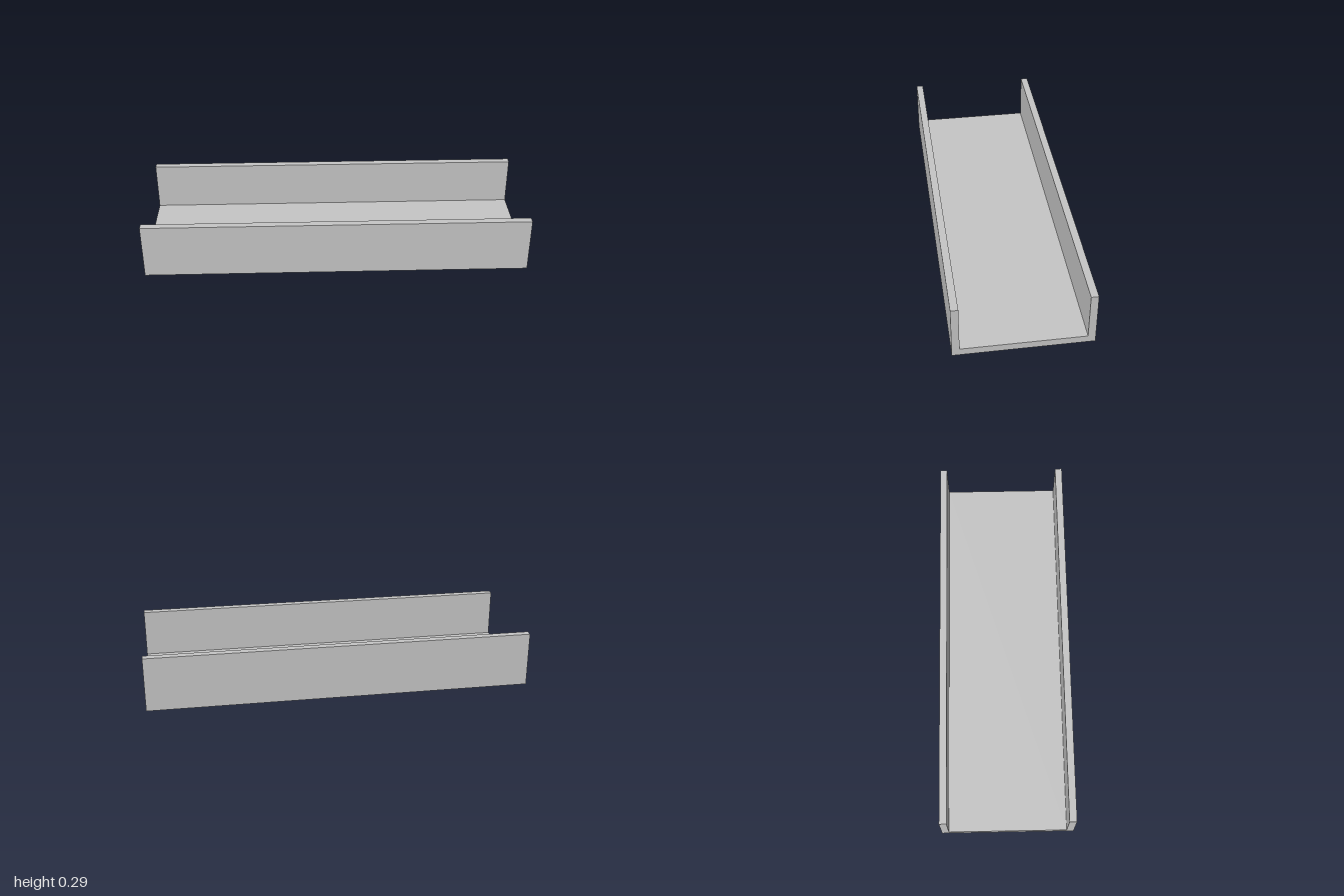
import * as THREE from 'three';
import { toCreasedNormals } from 'three/addons/utils/BufferGeometryUtils.js';

const LENGTH = 2, HALF_WIDTH = 0.344, HEIGHT = 0.287, THICKNESS = 0.0375;
const HOLE = { x: 0.9, z: 0.157, radius: 0.021, depth: 0.027 };

// U-shaped section swept along x, with the underside left open for the drilled plate
function channelGeometry() {
  const w = HALF_WIDTH, i = HALF_WIDTH - THICKNESS;
  const section = new THREE.Shape([
    [-w, 0], [w, 0], [w, HEIGHT], [i, HEIGHT],
    [i, THICKNESS], [-i, THICKNESS], [-i, HEIGHT], [-w, HEIGHT],
  ].map(([x, y]) => new THREE.Vector2(x, y)));
  const swept = new THREE.ExtrudeGeometry(section, { depth: LENGTH, bevelEnabled: false });
  swept.translate(0, 0, -LENGTH / 2).rotateY(Math.PI / 2);

  const p = swept.attributes.position, kept = [];
  for (let t = 0; t < p.count; t += 3) {
    const corners = [t, t + 1, t + 2];
    if (corners.every((k) => Math.abs(p.getY(k)) < 1e-5)) continue;
    for (const k of corners) kept.push(p.getX(k), p.getY(k), p.getZ(k));
  }
  const geometry = new THREE.BufferGeometry();
  geometry.setAttribute('position', new THREE.Float32BufferAttribute(kept, 3));
  geometry.computeVertexNormals();
  return geometry;
}

export function createModel() {
  const group = new THREE.Group();
  group.name = 'channelTray';
  const lightGrey = new THREE.MeshStandardMaterial({ color: 0xc5c5c5 });
  lightGrey.name = 'lightGrey';

  const add = (name, geometry) => {
    const mesh = new THREE.Mesh(geometry, lightGrey);
    mesh.name = name;
    group.add(mesh);
    return mesh;
  };

  // Floor and two side walls
  add('channel', channelGeometry());

  // Underside outline, pierced at the four mounting holes
  const h = LENGTH / 2, w = HALF_WIDTH;
  const outline = new THREE.Shape([
    new THREE.Vector2(-h, -w), new THREE.Vector2(h, -w),
    new THREE.Vector2(h, w), new THREE.Vector2(-h, w),
  ]);

  // Blind hole: flat ceiling and inward-facing wall
  const holeGeometry = toCreasedNormals(new THREE.LatheGeometry([
    new THREE.Vector2(0, HOLE.depth),
    new THREE.Vector2(HOLE.radius, HOLE.depth),
    new THREE.Vector2(HOLE.radius, 0),
  ], 32), 0.6);

  for (const sx of [-1, 1]) {
    for (const sz of [-1, 1]) {
      const x = sx * HOLE.x, z = sz * HOLE.z;
      outline.holes.push(new THREE.Path().absarc(x, z, HOLE.radius, 0, Math.PI * 2, true));
      add('mountingHole', holeGeometry).position.set(x, 0, z);
    }
  }
  add('underside', new THREE.ShapeGeometry(outline, 16).rotateX(Math.PI / 2));

  return group;
}
